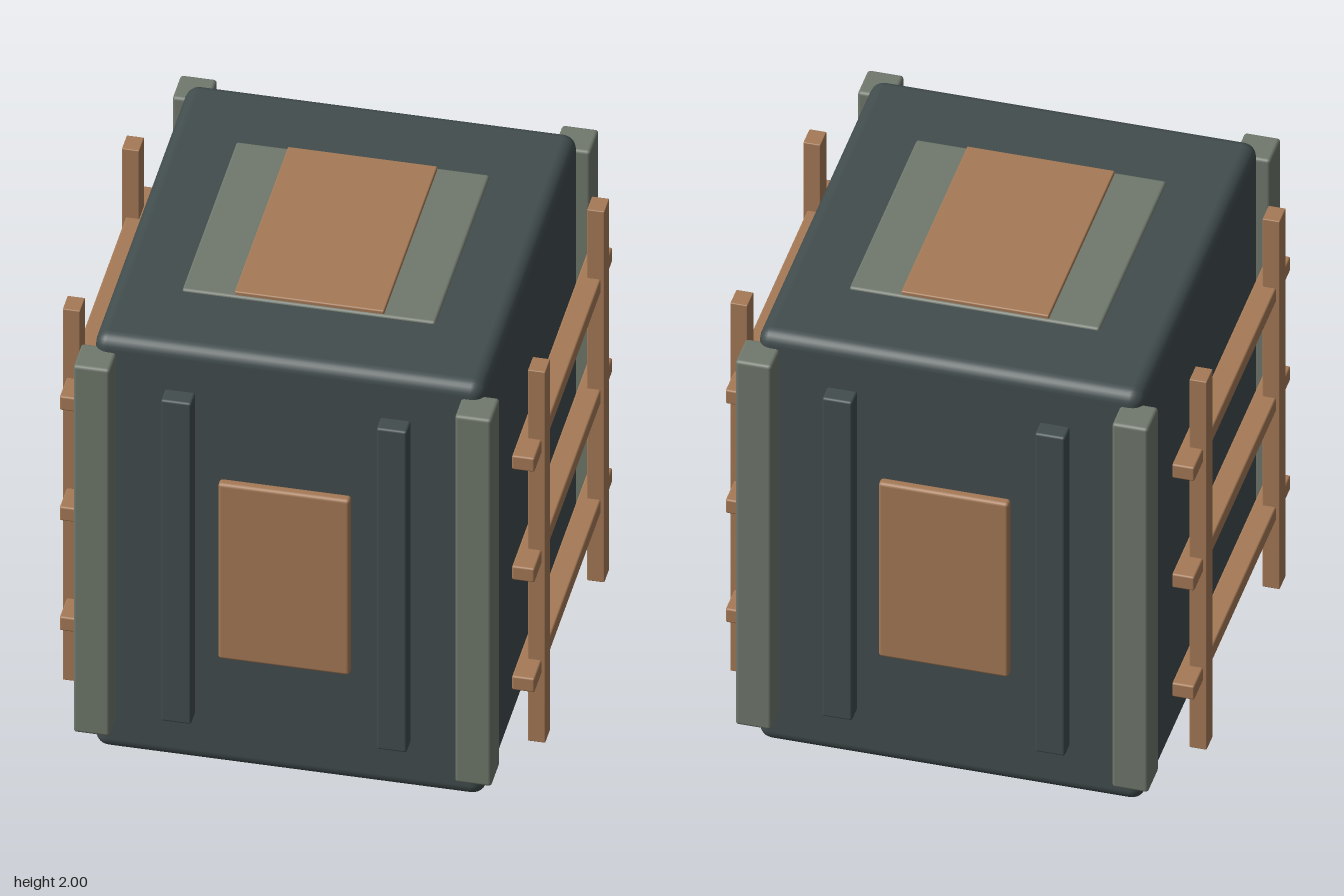
import * as THREE from 'three';
import { RoundedBoxGeometry } from 'three/addons/geometries/RoundedBoxGeometry.js';

const material = (name, color) => {
  const m = new THREE.MeshStandardMaterial({ color });
  m.name = name;
  return m;
};

export function createModel() {
  const model = new THREE.Group();
  model.name = 'crate';
  const slate = material('dark slate', 0x424d4e);
  const grey = material('grey green', 0x70786c);
  const copper = material('copper', 0xa67a56);

  // Bevelled box given by its minimum and maximum corners
  const block = (parent, name, mat, min, max, radius, segments = 2) => {
    const size = max.map((v, i) => v - min[i]);
    const mesh = new THREE.Mesh(new RoundedBoxGeometry(...size, segments, radius), mat);
    mesh.position.set(...max.map((v, i) => (v + min[i]) / 2));
    mesh.name = name;
    parent.add(mesh);
    return mesh;
  };

  // Main body
  block(model, 'body', slate, [-0.77, 0, -0.85], [0.77, 1.975, 0.85], 0.055, 3);

  // Lid plate and its central panel
  block(model, 'lidPlate', grey, [-0.5, 1.93, -0.49], [0.5, 1.985, 0.49], 0.012);
  block(model, 'lidPanel', copper, [-0.295, 1.95, -0.48], [0.295, 2, 0.48], 0.006);

  // Front and back faces: corner posts, ribs and a panel
  for (const side of ['front', 'back']) {
    const face = new THREE.Group();
    face.name = side + 'Face';
    if (side === 'back') face.rotation.y = Math.PI;
    for (const s of [-1, 1]) {
      const post = block(face, 'cornerPost', grey, [0.68, 0.15, 0.81], [0.825, 1.91, 0.965], 0.014);
      const rib = block(face, 'rib', slate, [0.365, 0.24, 0.857], [0.485, 1.78, 0.938], 0.01);
      post.position.x *= s;
      rib.position.x *= s;
    }
    block(face, 'facePanel', copper, [-0.26, 0.575, 0.895], [0.26, 1.415, 0.94], 0.014);
    model.add(face);
  }

  // Ladder racks on the left and right
  for (const side of ['left', 'right']) {
    const rack = new THREE.Group();
    rack.name = side + 'Rack';
    if (side === 'right') rack.rotation.y = Math.PI;
    for (const z of [-0.53, 0.53])
      block(rack, 'upright', copper, [0.883, 0.1, z - 0.045], [0.952, 1.88, z + 0.045], 0.004);
    for (const y of [0.462, 0.99, 1.52])
      block(rack, 'rung', copper, [0.847, y - 0.033, -0.7], [0.937, y + 0.033, 0.7], 0.008);
    model.add(rack);
  }
  return model;
}
